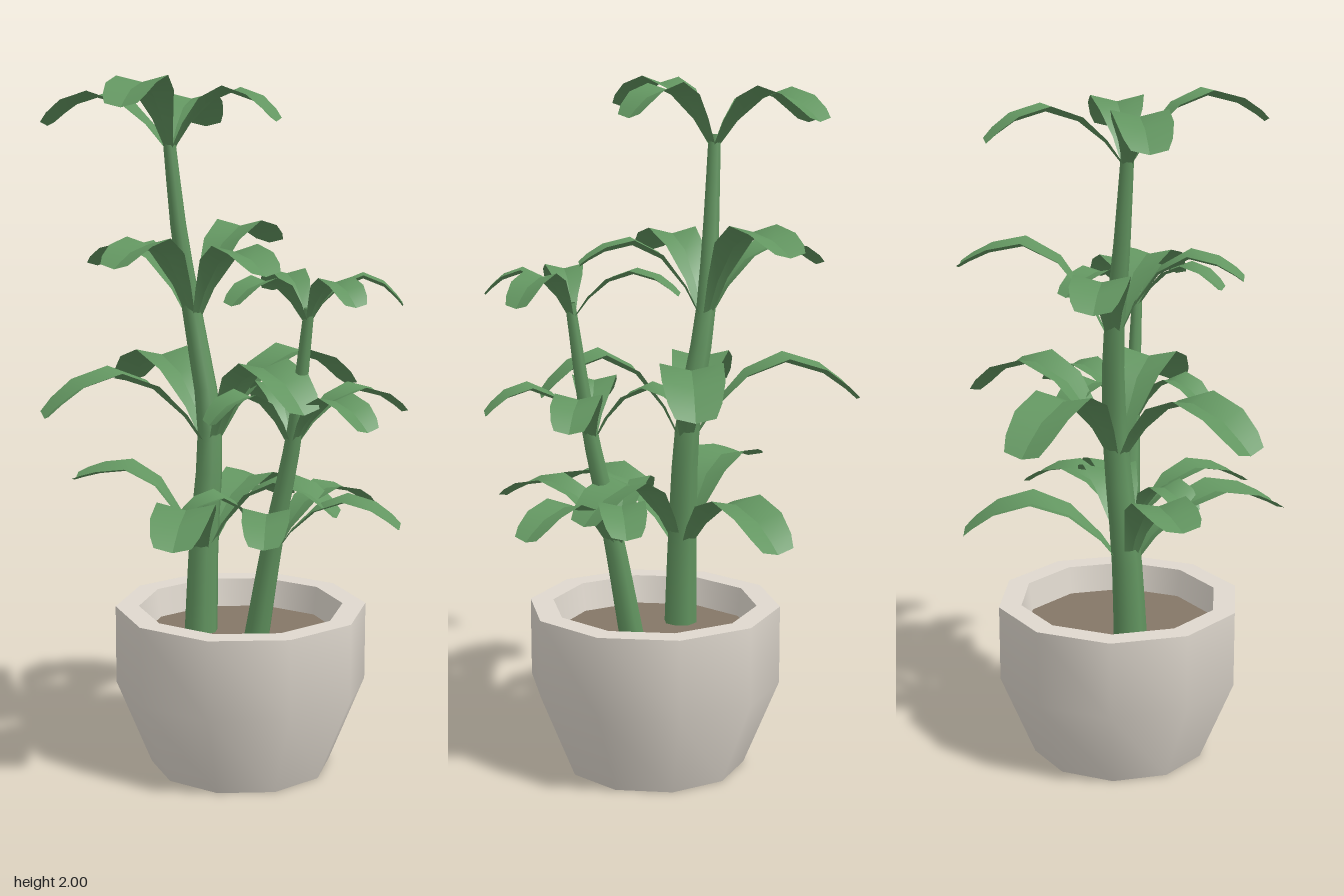
import * as THREE from 'three';

const mat = (name, color, side = THREE.FrontSide) => {
  const m = new THREE.MeshStandardMaterial({ color, side });
  m.name = name;
  return m;
};

export function createModel() {
  const plant = new THREE.Group();
  plant.name = 'pottedPlant';
  const green = mat('leafGreen', 0x629560, THREE.DoubleSide);
  const stone = mat('potStone', 0xdfd8ce);
  const earth = mat('soilBrown', 0x857767);

  const add = (parent, name, geometry, material) => {
    const mesh = new THREE.Mesh(geometry, material);
    mesh.name = name;
    parent.add(mesh);
    return mesh;
  };

  // Ten-sided pot: each surface is its own lathe so the rim stays crisp
  const pot = new THREE.Group();
  pot.name = 'pot';
  pot.position.set(0.055, 0, 0.04);
  plant.add(pot);
  const lathe = (name, points, material) => add(pot, name, new THREE.LatheGeometry(
    points.map(([r, y]) => new THREE.Vector2(r, y)), 10, Math.PI / 20), material);
  lathe('potBase', [[0, 0], [0.265, 0]], stone);
  lathe('potWall', [[0.265, 0], [0.368, 0.25], [0.368, 0.48]], stone);
  lathe('potRim', [[0.368, 0.48], [0.3, 0.48]], stone);
  lathe('potInside', [[0.3, 0.48], [0.285, 0.37]], stone);
  lathe('soil', [[0.29, 0.395], [0, 0.395]], earth);

  // Tapered stem along a curve
  const makeStem = (name, points, r0, r1) => {
    const curve = new THREE.CatmullRomCurve3(points.map(p => new THREE.Vector3(...p)));
    const rings = 12, sides = 8;
    const geo = new THREE.TubeGeometry(curve, rings, 1, sides);
    const pos = geo.attributes.position, v = new THREE.Vector3();
    for (let i = 0; i < pos.count; i++) {
      const t = Math.floor(i / (sides + 1)) / rings;
      const c = curve.getPointAt(t);
      v.fromBufferAttribute(pos, i).sub(c).multiplyScalar(r0 + (r1 - r0) * t).add(c);
      pos.setXYZ(i, v.x, v.y, v.z);
    }
    add(plant, name, geo, green);
    return curve.getPoints(80);
  };

  // Arched leaf pointing along +x: two halves folded up from the midrib
  // stations: [distance, rise, droop, half width] as fractions
  const stations = [
    [0.02, 0, 0, 0.16], [0.16, 0.44, 0, 0.42], [0.35, 0.82, 0, 0.8],
    [0.58, 1, 0, 1], [0.8, 1, 0.3, 0.97], [0.93, 1, 0.72, 0.82], [1, 1, 1, 0.62],
  ];
  const leafGeometry = (length, peak, drop, width) => {
    const pos = [], index = [];
    for (const side of [-1, 1]) {
      const start = pos.length / 3;
      stations.forEach(([d, rise, droop, w], i) => {
        const x = d * length, y = rise * peak - droop * drop, half = w * width / 2;
        const edge = [x, y + half * 0.24, side * half];
        const rib = [x, y, 0];
        pos.push(...(side < 0 ? [...edge, ...rib] : [...rib, ...edge]));
        if (i) {
          const a = start + i * 2 - 2;
          index.push(a, a + 1, a + 3, a, a + 3, a + 2);
        }
      });
    }
    const geo = new THREE.BufferGeometry();
    geo.setAttribute('position', new THREE.Float32BufferAttribute(pos, 3));
    geo.setIndex(index);
    geo.computeVertexNormals();
    return geo;
  };

  // Ring of leaves around a stem; leaves are [degrees, length, extra rise, own droop]
  const whorl = (name, path, y, peak, drop, width, leaves) => {
    const group = new THREE.Group();
    group.name = name;
    group.position.copy(path.find(p => p.y >= y));
    plant.add(group);
    for (const [deg, length, extra = 0, droop = drop] of leaves) {
      const leaf = add(group, 'leaf', leafGeometry(length, peak + extra, droop, width), green);
      leaf.rotation.y = -deg * Math.PI / 180;
    }
  };

  // Tall stem with four whorls
  const tall = makeStem('tallStem', [
    [-0.055, 0.38, -0.01], [-0.045, 0.65, -0.018], [-0.022, 1, -0.04],
    [-0.06, 1.3, -0.08], [-0.1, 1.55, -0.087], [-0.13, 1.83, -0.09]], 0.05, 0.018);
  whorl('tallLowerLeaves', tall, 0.61, 0.235, 0.09, 0.165,
    [[28, 0.4], [111, 0.48, -0.03, 0.07], [198, 0.38, 0.02, 0.03], [-48, 0.48, -0.04, 0.1]]);
  whorl('tallMiddleLeaves', tall, 0.92, 0.255, 0.11, 0.175,
    [[-18, 0.48, 0.01], [64, 0.42, 0.01], [174, 0.49, -0.03], [-109, 0.5, -0.01]]);
  whorl('tallUpperLeaves', tall, 1.3, 0.22, 0.06, 0.155,
    [[-46, 0.43, 0.05], [68, 0.36], [138, 0.36, 0.02], [229, 0.37, -0.01]]);
  whorl('tallCrownLeaves', tall, 1.79, 0.185, 0.08, 0.15,
    [[-63, 0.38, -0.035], [33, 0.32, -0.025], [120, 0.38, 0, 0.07], [213, 0.39, -0.035]]);

  // Short stem with three whorls
  const short = makeStem('shortStem', [
    [0.085, 0.38, 0.1], [0.125, 0.7, 0.145], [0.17, 1, 0.195], [0.2, 1.37, 0.24]], 0.038, 0.015);
  whorl('shortLowerLeaves', short, 0.64, 0.18, 0.06, 0.13,
    [[-22, 0.35], [24, 0.37, -0.01, 0.07], [106, 0.39], [178, 0.26]]);
  whorl('shortMiddleLeaves', short, 0.97, 0.155, 0.07, 0.13,
    [[-8, 0.34], [62, 0.3], [165, 0.26], [-92, 0.28]]);
  whorl('shortCrownLeaves', short, 1.32, 0.125, 0.06, 0.11,
    [[16, 0.26, 0, 0.075], [73, 0.24], [153, 0.27], [-95, 0.3]]);

  return plant;
}
